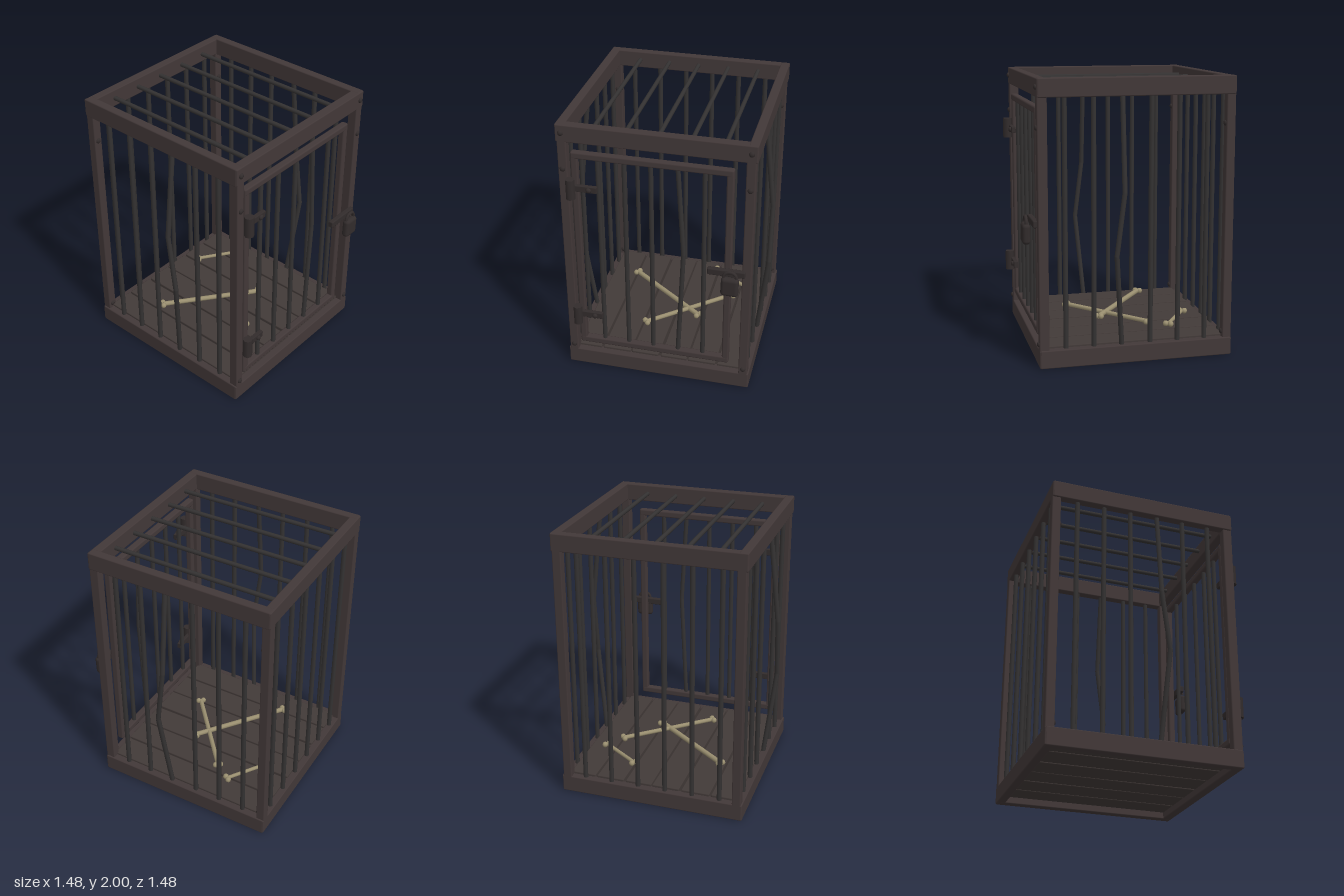
import * as THREE from 'three';
import { RoundedBoxGeometry } from 'three/addons/geometries/RoundedBoxGeometry.js';

const paint = (name, color) => Object.assign(new THREE.MeshStandardMaterial({ color }), { name });

export function createModel() {
  const frameMat = paint('rusty frame', 0x423838);
  const barMat = paint('dark iron bars', 0x343232);
  const floorMat = paint('floor planks', 0x423a38);
  const fittingMat = paint('black fittings', 0x322c2c);
  const boneMat = paint('old bone', 0x9a8f70);

  const root = new THREE.Group();
  root.name = 'cage';
  const V = (x, y, z) => new THREE.Vector3(x, y, z);

  function group(name) {
    const g = new THREE.Group();
    g.name = name;
    root.add(g);
    return g;
  }
  function mesh(parent, name, geometry, material, x = 0, y = 0, z = 0) {
    const m = new THREE.Mesh(geometry, material);
    m.name = name;
    m.position.set(x, y, z);
    parent.add(m);
    return m;
  }
  // Bevelled block given by its lower and upper limits on each axis
  function block(parent, name, material, [x0, x1], [y0, y1], [z0, z1], bevel = 0.008) {
    const geo = new RoundedBoxGeometry(x1 - x0, y1 - y0, z1 - z0, 1, bevel);
    return mesh(parent, name, geo, material, (x0 + x1) / 2, (y0 + y1) / 2, (z0 + z1) / 2);
  }
  // Round rod through a list of points, with a ball at every bend
  function rod(parent, name, material, points, radius) {
    for (let i = 1; i < points.length; i++) {
      const a = points[i - 1], b = points[i];
      const dir = b.clone().sub(a);
      const mid = a.clone().add(b).multiplyScalar(0.5);
      const m = mesh(parent, name, new THREE.CylinderGeometry(radius, radius, dir.length(), 8), material, mid.x, mid.y, mid.z);
      m.quaternion.setFromUnitVectors(V(0, 1, 0), dir.normalize());
      if (i > 1) mesh(parent, name + 'Bend', new THREE.SphereGeometry(radius, 8, 6), material, a.x, a.y, a.z);
    }
  }
  const rivet = (parent, x, y, z) => {
    const m = mesh(parent, 'rivet', new THREE.SphereGeometry(0.02, 8, 6), fittingMat, x, y, z);
    m.scale.z = 0.7;
  };

  // Corner posts and the top and bottom rims
  const frame = group('frame');
  const ends = { front: [0.58, 0.65], back: [-0.74, -0.675] };
  for (const s of [-1, 1]) {
    const xs = s < 0 ? [-0.675, -0.61] : [0.61, 0.675];
    for (const [end, zs] of Object.entries(ends)) {
      block(frame, end + 'Post', frameMat, xs, [0.06, 1.94], zs);
      for (const y of [0.17, 1.67]) rivet(frame, s * 0.643, y, zs[1]);
      rivet(frame, s * 0.643, 1.94, zs[1] + 0.002);
    }
    const rimXs = s < 0 ? [-0.685, -0.62] : [0.62, 0.685];
    for (const y of [0, 1.87]) block(frame, 'sideRim', frameMat, rimXs, [y, y + 0.13], [-0.735, 0.645]);
  }
  for (const y of [0, 1.87]) {
    for (const [end, zs] of Object.entries(ends)) {
      block(frame, end + 'Rim', frameMat, [-0.683, 0.683], [y + 0.002, y + 0.128], zs);
    }
  }

  // Floor planks running front to back, slightly askew
  const floor = group('floor');
  const edges = [-0.64, -0.437, -0.213, 0.004, 0.214, 0.434, 0.64];
  const skew = [0, 0.002, -0.004, 0.006, 0, 0];
  for (let i = 0; i < 6; i++) {
    const plank = block(floor, 'plank', floorMat, [edges[i] + 0.007, edges[i + 1] - 0.007], [0.05, 0.145], [-0.69, 0.6], 0.006);
    plank.rotation.y = skew[i];
  }

  // Upright bars on the sides (third one bent outward), the back and the roof
  const bars = group('bars');
  const R = 0.018;
  for (const s of [-1, 1]) {
    for (const z of [0.46, 0.26, -0.145, -0.345, -0.545]) {
      rod(bars, 'sideBar', barMat, [V(s * 0.645, 0.1, z), V(s * 0.645, 1.9, z)], R);
    }
    rod(bars, 'bentSideBar', barMat,
      [V(s * 0.645, 0.1, 0.06), V(s * 0.72, 0.78, 0.115), V(s * 0.72, 1.22, 0.06), V(s * 0.645, 1.9, 0.06)], R);
  }
  for (let i = 0; i < 6; i++) {
    const x = -0.51 + i * 0.204;
    rod(bars, 'backBar', barMat, [V(x, 0.1, -0.705), V(x, 1.9, -0.705)], R);
  }
  for (let i = 0; i < 5; i++) {
    const x = -0.455 + i * 0.2275;
    rod(bars, 'roofBar', barMat, [V(x, 1.935, -0.7), V(x, 1.935, 0.61)], 0.016);
  }

  // Door with its own frame and bars, the fourth bar bent
  const door = group('door');
  const dz = [0.592, 0.642];
  for (const x of [-0.59, 0.482]) block(door, 'doorStile', frameMat, [x, x + 0.05], [0.2, 1.8], dz, 0.012);
  for (const y of [0.2, 1.75]) block(door, 'doorRail', frameMat, [-0.588, 0.53], [y, y + 0.05], [0.59, 0.644], 0.012);
  for (const x of [-0.405, -0.22, -0.035, 0.335]) {
    rod(door, 'doorBar', barMat, [V(x, 0.23, 0.617), V(x, 1.77, 0.617)], 0.017);
  }
  rod(door, 'bentDoorBar', barMat, [V(0.15, 0.23, 0.617), V(0.19, 1.08, 0.617), V(0.15, 1.77, 0.617)], 0.017);

  // Hinges: barrel, strap and rivet
  const hinges = group('hinges');
  for (const y of [0.475, 1.535]) {
    mesh(hinges, 'hingeBarrel', new THREE.CylinderGeometry(0.034, 0.034, 0.15, 8), fittingMat, -0.587, y, 0.675);
    block(hinges, 'hingeStrap', fittingMat, [-0.59, -0.405], [y - 0.024, y + 0.024], [0.635, 0.667], 0.005);
    rivet(hinges, -0.46, y, 0.671);
  }

  // Latch bar and hanging padlock
  const latch = group('latch');
  block(latch, 'latchBar', fittingMat, [0.37, 0.635], [0.987, 1.037], [0.64, 0.678], 0.008);
  const body = mesh(latch, 'padlockBody', new RoundedBoxGeometry(0.125, 0.145, 0.056, 3, 0.025), fittingMat, 0.538, 0.938, 0.716);
  body.rotation.z = -0.03;
  const shackle = mesh(latch, 'padlockShackle', new THREE.TorusGeometry(0.045, 0.012, 8, 16, Math.PI), fittingMat, 0.538, 1.01, 0.715);
  shackle.rotation.z = -0.03;

  // Bones on the floor: shaft with two knobs at each end
  const bones = group('bones');
  const addBone = (a, b, r) => {
    rod(bones, 'boneShaft', boneMat, [a, b], r);
    const dir = b.clone().sub(a).normalize();
    const side = V(-dir.z, 0, dir.x).multiplyScalar(0.019);
    for (const p of [a, b]) {
      for (const s of [-1, 1]) {
        const k = p.clone().addScaledVector(side, s);
        mesh(bones, 'boneKnob', new THREE.SphereGeometry(0.022, 8, 6), boneMat, k.x, k.y, k.z);
      }
    }
  };
  addBone(V(-0.415, 0.2, -0.335), V(0.195, 0.2, 0.125), 0.019);
  addBone(V(-0.175, 0.2, 0.3), V(0.4, 0.2, -0.195), 0.017);
  addBone(V(0.2, 0.2, -0.52), V(0.49, 0.2, -0.325), 0.014);

  // Centre front to back around the padlock and back rim
  return root;
}
